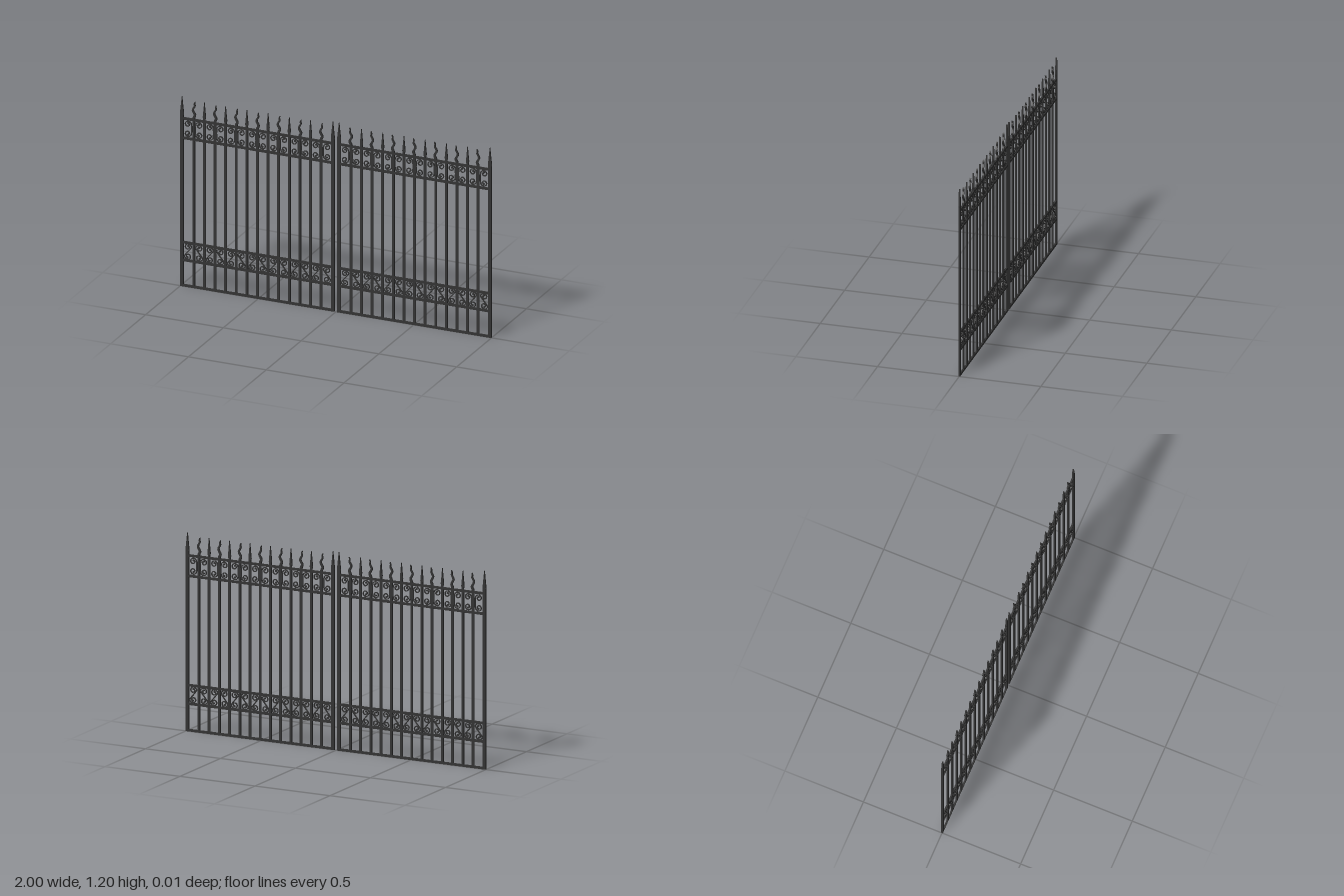
import * as THREE from 'three';

const iron = new THREE.MeshStandardMaterial({ color: 0x333333 });
const DEPTH = 0.01, PITCH = 0.0682, BARS = 13;
const STILE = 0.485, MID = 0.505; // stile offset from leaf centre, leaf centre from origin

function mesh(name, geometry, x = 0, y = 0) {
  const m = new THREE.Mesh(geometry, iron);
  m.name = name;
  m.position.set(x, y, 0);
  return m;
}

function plate(points, depth) {
  const g = new THREE.ExtrudeGeometry(new THREE.Shape(points), { depth, bevelEnabled: false });
  return g.translate(0, 0, -depth / 2);
}

// Flat strip following a planar path; halfWidth is a function of t in 0..1
function ribbon(path, n, halfWidth, depth) {
  const pts = new THREE.SplineCurve(path).getPoints(n);
  const left = [], right = [];
  pts.forEach((p, i) => {
    const d = pts[Math.min(i + 1, n)].clone().sub(pts[Math.max(i - 1, 0)]).normalize();
    const w = halfWidth(i / n);
    left.push(new THREE.Vector2(p.x - d.y * w, p.y + d.x * w));
    right.unshift(new THREE.Vector2(p.x + d.y * w, p.y - d.x * w));
  });
  return plate(left.concat(right), depth);
}

// Inward spiral of one scroll end, starting at the outer right side
function spiral() {
  const pts = [];
  for (let i = 0; i <= 14; i++) {
    const t = i / 14, a = t * Math.PI * 2.4, r = 0.0225 - 0.0155 * t;
    pts.push(new THREE.Vector2(r * Math.cos(a), 0.029 + r * Math.sin(a)));
  }
  return pts;
}

// C scroll mirrors the spiral downwards; S scroll turns it half round
function scrollGeometry(isS) {
  const upper = spiral();
  const lower = upper.map(p => new THREE.Vector2(isS ? -p.x : p.x, -p.y)).reverse();
  const middle = new THREE.Vector2(isS ? 0 : 0.0245, 0);
  return ribbon([...lower, middle, ...upper], 72, () => 0.0032, 0.006);
}

const cScroll = scrollGeometry(false), sScroll = scrollGeometry(true);
const eye = new THREE.CylinderGeometry(0.0062, 0.0062, 0.007, 10).rotateX(Math.PI / 2);

function scroll(isS, x, y, flip) {
  const g = new THREE.Group();
  g.name = isS ? 'sScroll' : 'cScroll';
  g.add(mesh('scrollStrip', isS ? sScroll : cScroll));
  const end = spiral().pop();
  g.add(mesh('scrollEye', eye, end.x, end.y));
  g.add(mesh('scrollEye', eye, isS ? -end.x : end.x, -end.y));
  g.position.set(x, y, 0);
  if (flip) g.rotation.y = Math.PI;
  return g;
}

// Pointed finial with a slight shoulder
function spearGeometry(neck, shoulder, height) {
  const half = [[neck, 0], [neck, 0.012], [shoulder, 0.024], [shoulder * 0.55, height * 0.55]];
  const right = half.map(([x, y]) => new THREE.Vector2(x, y));
  const left = half.map(([x, y]) => new THREE.Vector2(-x, y)).reverse();
  return plate([...right, new THREE.Vector2(0, height), ...left], DEPTH);
}

// Flame finial: a tapering wavy strip
function flameGeometry() {
  const path = [[0, 0], [0.001, 0.012], [0.007, 0.03], [-0.006, 0.058], [0.006, 0.084], [0.004, 0.098], [0.008, 0.112]]
    .map(([x, y]) => new THREE.Vector2(x, y));
  return ribbon(path, 28, t => 0.0075 * (1 - t) ** 0.6 + 0.0006, DEPTH);
}

function createLeaf() {
  const leaf = new THREE.Group();
  leaf.name = 'gateLeaf';

  // Stiles with spear tops
  const stile = new THREE.BoxGeometry(0.02, 1.07, DEPTH);
  const stileSpear = spearGeometry(0.01, 0.0115, 0.13);
  for (const s of [-1, 1]) {
    leaf.add(mesh('stile', stile, s * STILE, 0.535));
    leaf.add(mesh('stileSpear', stileSpear, s * STILE, 1.07));
  }

  // Horizontal rails
  const rail = new THREE.BoxGeometry(STILE * 2, 0.014, DEPTH);
  for (const y of [0.007, 0.167, 0.279, 0.939, 1.062]) leaf.add(mesh('rail', rail, 0, y));

  // Upright bars, flame and spear tops alternating
  const bar = new THREE.BoxGeometry(0.015, 1.06, 0.009);
  const spear = spearGeometry(0.006, 0.009, 0.117);
  const flame = flameGeometry();
  const xs = [-STILE];
  for (let i = 0; i < BARS; i++) {
    const x = (i - (BARS - 1) / 2) * PITCH;
    xs.push(x);
    leaf.add(mesh('bar', bar, x, 0.53));
    leaf.add(i % 2 ? mesh('spearTop', spear, x, 1.066) : mesh('flameTop', flame, x, 1.066));
  }
  xs.push(STILE);

  // Scrollwork in both bands, mirrored from bay to bay
  for (let i = 0; i <= BARS; i++) {
    const x = (xs[i] + xs[i + 1]) / 2;
    leaf.add(scroll(false, x, 1.0005, i % 2 === 1));
    leaf.add(scroll(true, x, 0.223, i % 2 === 1));
  }
  return leaf;
}

export function createModel() {
  const gate = new THREE.Group();
  gate.name = 'doubleGate';
  for (const s of [-1, 1]) {
    const leaf = createLeaf();
    leaf.position.x = s * MID;
    if (s > 0) leaf.rotation.y = Math.PI; // mirrored leaf
    gate.add(leaf);
  }
  return gate;
}
